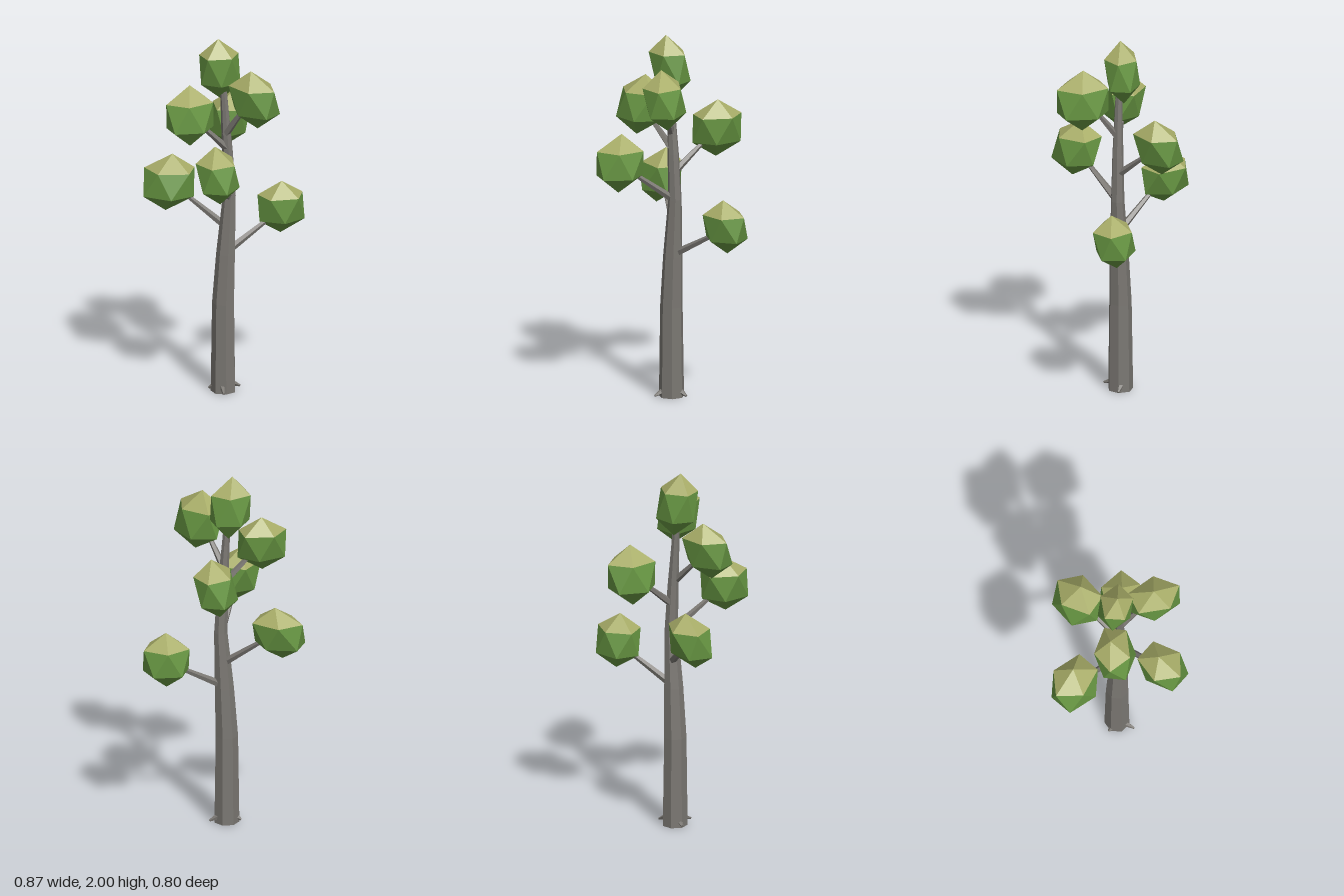
import * as THREE from 'three';

const bark = new THREE.MeshStandardMaterial({ color: 0x7a7772, flatShading: true });
const leaf = new THREE.MeshStandardMaterial({ color: 0x679642, flatShading: true });
const leafTop = new THREE.MeshStandardMaterial({ color: 0xa8ad68, flatShading: true });
const rad = THREE.MathUtils.degToRad;

function addMesh(parent, name, geometry, material) {
  const mesh = new THREE.Mesh(geometry, material);
  mesh.name = name;
  parent.add(mesh);
  return mesh;
}

// Trunk: a seven-sided column whose rings follow [x, y, z, radius]
function trunkGeometry(rings) {
  const geo = new THREE.CylinderGeometry(1, 1, 1, 7, rings.length - 1);
  const pos = geo.attributes.position;
  for (let i = 0; i < pos.count; i++) {
    const ring = rings[Math.round((pos.getY(i) + 0.5) * (rings.length - 1))];
    const [x, y, z, r] = ring;
    pos.setXYZ(i, x + pos.getX(i) * r, y, z + pos.getZ(i) * r);
  }
  geo.computeVertexNormals();
  return geo;
}

// Tapered limb between two points
function addLimb(parent, name, from, to, r0, r1) {
  const a = new THREE.Vector3(...from);
  const dir = new THREE.Vector3(...to).sub(a);
  const geo = new THREE.CylinderGeometry(r1, r0, dir.length(), 5);
  const mesh = addMesh(parent, name, geo, bark);
  mesh.position.copy(a).addScaledVector(dir, 0.5);
  mesh.quaternion.setFromUnitVectors(new THREE.Vector3(0, 1, 0), dir.normalize());
}

function facets(points) {
  const geo = new THREE.BufferGeometry().setFromPoints(points);
  geo.computeVertexNormals();
  return geo;
}

// Foliage: a stretched, leaning icosahedron with a lighter five-sided cap
function foliage({ at, size, turn, start, lean }) {
  const [a, h, c] = size;
  const point = (radius, level, angle) => {
    const t = rad(angle - turn), p = rad(turn);
    const u = radius * a * Math.cos(t), v = radius * c * Math.sin(t);
    return new THREE.Vector3(
      u * Math.cos(p) - v * Math.sin(p) + lean[0] * level,
      level * h,
      u * Math.sin(p) + v * Math.cos(p) + lean[1] * level);
  };
  const upper = (k) => point(1, 0.447, start + 72 * k);
  const lower = (k) => point(1, -0.447, start + 36 + 72 * k);
  const top = point(0, 1, 0), bottom = point(0, -1, 0);
  const cap = [], body = [];
  for (let k = 0; k < 5; k++) {
    cap.push(top, upper(k + 1), upper(k));
    body.push(upper(k), upper(k + 1), lower(k));
    body.push(lower(k), upper(k + 1), lower(k + 1));
    body.push(bottom, lower(k), lower(k + 1));
  }
  const group = new THREE.Group();
  group.name = 'foliage';
  addMesh(group, 'foliageCap', facets(cap), leafTop);
  addMesh(group, 'foliageBody', facets(body), leaf);
  group.position.set(...at);
  return group;
}

export function createModel() {
  const tree = new THREE.Group();
  tree.name = 'tree';

  addMesh(tree, 'trunk', trunkGeometry([
    [-0.035, 0, -0.017, 0.069],
    [-0.035, 0.5, -0.016, 0.062],
    [-0.022, 0.78, -0.014, 0.053],
    [-0.003, 1.1, -0.013, 0.037],
    [-0.014, 1.35, -0.01, 0.031],
    [-0.03, 1.6, -0.008, 0.022],
    [-0.04, 1.76, -0.01, 0.018],
  ]), bark);

  // Branches, each reaching into its foliage
  const branches = [
    [[0.0, 0.8, -0.02], [0.24, 0.94, -0.09]],
    [[-0.01, 0.92, -0.02], [-0.22, 1.09, -0.13]],
    [[-0.01, 1.37, -0.005], [-0.17, 1.53, 0.02]],
    [[-0.01, 1.25, -0.015], [0.03, 1.39, -0.18]],
    [[-0.025, 1.46, -0.005], [0.05, 1.62, 0.09]],
    [[-0.01, 1.1, -0.005], [-0.1, 1.26, 0.2]],
  ];
  for (const [from, to] of branches) addLimb(tree, 'branch', from, to, 0.022, 0.012);

  // Small root nubs
  const roots = [
    [[0.015, 0.035, -0.035], [0.06, 0.015, -0.04]],
    [[-0.085, 0.03, -0.03], [-0.112, 0.015, -0.04]],
    [[-0.05, 0.035, 0.03], [-0.055, 0.015, 0.085]],
  ];
  for (const [from, to] of roots) addLimb(tree, 'root', from, to, 0.018, 0.006);

  // size: long radius, half height, short radius; turn: long axis; start: first cap corner
  const clumps = [
    { at: [0.3, 0.99, -0.105], size: [0.13, 0.15, 0.108], turn: 0, start: -90, lean: [0, 0.015] },
    { at: [-0.3, 1.15, -0.175], size: [0.145, 0.153, 0.113], turn: 25, start: -83, lean: [0.022, -0.015] },
    { at: [-0.23, 1.59, 0.03], size: [0.137, 0.162, 0.102], turn: -10, start: -118, lean: [0.005, -0.028] },
    { at: [0.05, 1.463, -0.265], size: [0.14, 0.163, 0.108], turn: -70, start: -72, lean: [0.022, 0.012] },
    { at: [0.097, 1.695, 0.15], size: [0.148, 0.165, 0.108], turn: 55, start: -95, lean: [-0.02, 0.005] },
    { at: [-0.13, 1.322, 0.268], size: [0.135, 0.158, 0.112], turn: 110, start: -103, lean: [-0.01, -0.02] },
    { at: [-0.055, 1.825, -0.02], size: [0.113, 0.175, 0.092], turn: -8, start: -84, lean: [-0.012, 0.015] },
  ];
  for (const clump of clumps) tree.add(foliage(clump));

  return tree;
}
